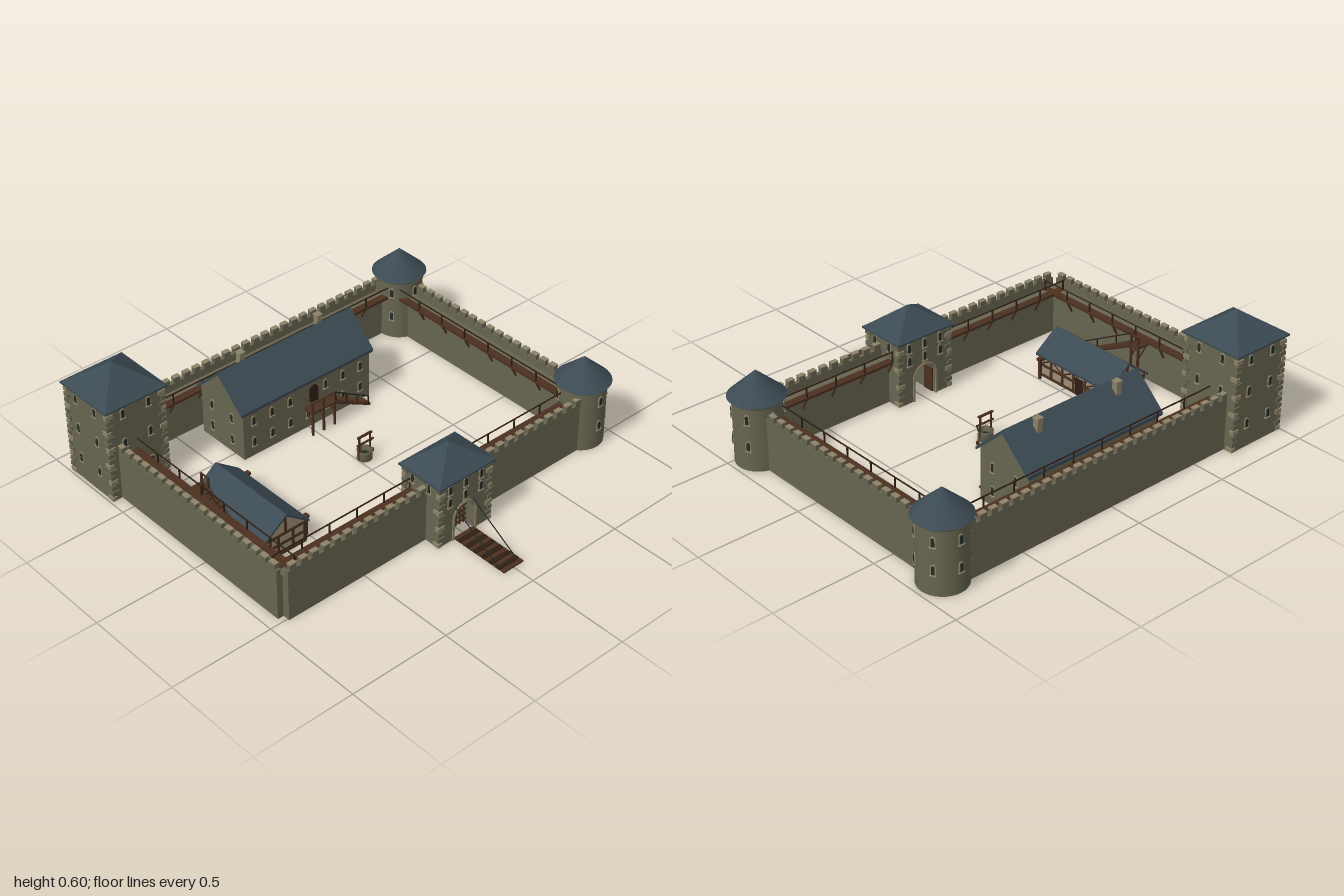
import * as THREE from 'three';

const mat = (name, color) => {
  const m = new THREE.MeshStandardMaterial({ color });
  m.name = name;
  return m;
};

export function createModel() {
  const stone = mat('stone', 0x66644f), trim = mat('pale stone', 0x8c8268), slate = mat('slate', 0x3c4a53);
  const wood = mat('wood', 0x4b3020), darkWood = mat('dark wood', 0x2f1f15), pane = mat('window pane', 0x222b25);
  const plaster = mat('plaster', 0x9a8f74), iron = mat('iron', 0x25262a);
  const root = new THREE.Group();
  root.name = 'castle';

  // Helpers
  const add = (parent, name, geo, m, x = 0, y = 0, z = 0) => {
    const mesh = new THREE.Mesh(geo, m);
    mesh.name = name;
    mesh.position.set(x, y, z);
    parent.add(mesh);
    return mesh;
  };
  const group = (name, parent = root, x = 0, y = 0, z = 0, turn = 0) => {
    const g = new THREE.Group();
    g.name = name;
    g.position.set(x, y, z);
    g.rotation.y = turn;
    parent.add(g);
    return g;
  };
  // Box standing on height y
  const box = (parent, name, m, w, h, d, x, y, z) => add(parent, name, new THREE.BoxGeometry(w, h, d), m, x, y + h / 2, z);
  const rod = (parent, name, m, a, b, r, sides = 6) => {
    const p = new THREE.Vector3(...a), q = new THREE.Vector3(...b), dir = q.clone().sub(p);
    const mesh = add(parent, name, new THREE.CylinderGeometry(r, r, dir.length(), sides), m);
    mesh.position.copy(p).add(q).multiplyScalar(0.5);
    mesh.quaternion.setFromUnitVectors(new THREE.Vector3(0, 1, 0), dir.normalize());
    return mesh;
  };
  const extrude = (shape, depth) => new THREE.ExtrudeGeometry(shape, { depth, bevelEnabled: false, curveSegments: 10 });
  const polygon = pts => new THREE.Shape(pts.map(p => new THREE.Vector2(...p)));
  const archShape = (w, h) => {
    const s = new THREE.Shape();
    s.moveTo(-w / 2, 0);
    s.lineTo(w / 2, 0);
    s.lineTo(w / 2, h - w / 2);
    s.absarc(0, h - w / 2, w / 2, 0, Math.PI, false);
    return s;
  };
  const frameGeo = extrude(archShape(0.025, 0.05), 0.005), paneGeo = extrude(archShape(0.015, 0.04), 0.007);
  const addWindow = (parent, x, y, z, turn = 0) => {
    const g = group('window', parent, x, y - 0.022, z, turn);
    add(g, 'windowFrame', frameGeo, trim, 0, 0, -0.001);
    add(g, 'windowPane', paneGeo, pane, 0, 0.004, -0.001);
    box(g, 'windowSill', trim, 0.03, 0.005, 0.009, 0, -0.003, 0.004);
  };
  const pyramidRoof = (parent, w, d, h, y) => {
    const geo = new THREE.ConeGeometry(Math.SQRT1_2, h, 4).rotateY(Math.PI / 4).scale(w, 1, d).toNonIndexed();
    geo.computeVertexNormals();
    add(parent, 'roof', geo, slate, 0, y + h / 2 + 0.006, 0);
    box(parent, 'eaves', slate, w, 0.008, d, 0, y, 0);
  };
  const quoins = (parent, w, d, h) => {
    for (const sx of [-1, 1]) for (const sz of [-1, 1]) {
      for (let i = 0, y = 0.004; y < h - 0.02; i++, y += 0.029) {
        const a = i % 2 ? 0.036 : 0.022, b = i % 2 ? 0.022 : 0.036;
        box(parent, 'cornerStone', i % 3 ? stone : trim, a, 0.02, b,
          sx * (w / 2 + 0.006 - a / 2), y, sz * (d / 2 + 0.006 - b / 2));
      }
    }
  };
  // Gable building: ridge runs along local z
  const gable = (parent, bodyMat, bodyW, bodyL, roofW, roofL, eave, rise, t) => {
    const k = rise / (roofW / 2), top = eave + k * (roofW - bodyW) / 2 - t, b = bodyW / 2, r = roofW / 2;
    const body = polygon([[-b, 0], [b, 0], [b, top], [0, eave + rise - t], [-b, top]]);
    add(parent, 'walls', extrude(body, bodyL), bodyMat, 0, 0, -bodyL / 2);
    const roof = polygon([[-r, eave - t], [0, eave + rise - t], [r, eave - t], [r, eave], [0, eave + rise], [-r, eave]]);
    add(parent, 'roof', extrude(roof, roofL), slate, 0, 0, -roofL / 2);
  };
  // Stair descends along local +x
  const stair = (parent, run, rise, width, n) => {
    for (let i = 0; i < n; i++) {
      box(parent, 'stairTread', wood, run / n * 1.1, 0.008, width, (i + 0.5) * run / n, rise * (1 - (i + 0.5) / n), 0);
    }
    for (const s of [-1, 1]) rod(parent, 'stairStringer', wood, [0, rise - 0.006, s * width / 2], [run, 0.005, s * width / 2], 0.007, 4);
    rod(parent, 'handrail', darkWood, [0, rise + 0.05, width / 2], [run - 0.01, 0.055, width / 2], 0.003);
    for (let i = 0; i < 4; i++) {
      const x = 0.006 + i * (run - 0.016) / 3;
      box(parent, 'railPost', darkWood, 0.005, 0.052, 0.005, x, rise * (1 - x / run), width / 2);
    }
  };

  // Curtain walls: outer face at local z = 0, wall walk towards -z
  const wall = (name, len, x, z, turn) => {
    const g = group(name, root, x, 0, z, turn);
    box(g, 'wallBody', stone, len, 0.22, 0.07, 0, 0, -0.035);
    box(g, 'parapet', stone, len, 0.036, 0.022, 0, 0.22, -0.011);
    const n = Math.round(len / 0.058), step = len / n;
    for (let i = 0; i < n; i++) {
      const mx = -len / 2 + (i + 0.5) * step;
      box(g, 'merlon', stone, 0.034, 0.025, 0.022, mx, 0.256, -0.011);
      box(g, 'merlonCap', trim, 0.036, 0.004, 0.024, mx, 0.28, -0.011);
    }
    box(g, 'wallWalk', wood, len, 0.012, 0.038, 0, 0.211, -0.087);
    const posts = Math.max(2, Math.round(len / 0.16));
    for (let i = 0; i <= posts; i++) {
      const px = -len / 2 + 0.01 + i * (len - 0.02) / posts;
      box(g, 'railPost', darkWood, 0.006, 0.05, 0.006, px, 0.222, -0.102);
      rod(g, 'bracket', wood, [px, 0.155, -0.068], [px, 0.212, -0.1], 0.006, 4);
    }
    rod(g, 'rail', darkWood, [-len / 2, 0.272, -0.102], [len / 2, 0.272, -0.102], 0.0035);
  };
  wall('frontWallRight', 0.77, -0.525, 0.51, 0);
  wall('frontWallLeft', 0.66, 0.47, 0.51, 0);
  wall('backWall', 1.5, 0.05, -0.84, Math.PI);
  wall('leftSideWall', 1.1, 0.9, -0.165, Math.PI / 2);
  wall('rightSideWall', 1.075, -0.94, -0.0625, -Math.PI / 2);

  // Round corner towers
  for (const z of [-0.77, 0.44]) {
    const g = group('roundTower', root, 0.868, 0, z);
    add(g, 'towerBody', new THREE.CylinderGeometry(0.11, 0.112, 0.325, 32), stone, 0, 0.1625, 0);
    add(g, 'towerCornice', new THREE.CylinderGeometry(0.117, 0.111, 0.015, 32), stone, 0, 0.31, 0);
    add(g, 'towerRoof', new THREE.ConeGeometry(0.131, 0.12, 32), slate, 0, 0.38, 0);
    for (let i = 0; i < 6; i++) {
      const a = i * Math.PI / 3;
      for (const y of [0.12, 0.25]) addWindow(g, Math.sin(a) * 0.11, y, Math.cos(a) * 0.11, a);
    }
  }

  // Square keep
  const keep = group('squareTower', root, -0.835, 0, -0.735);
  box(keep, 'towerBody', stone, 0.302, 0.478, 0.302, 0, 0, 0);
  quoins(keep, 0.302, 0.302, 0.475);
  pyramidRoof(keep, 0.33, 0.33, 0.116, 0.475);
  for (let side = 0; side < 4; side++) {
    const face = group('towerWindows', keep, 0, 0, 0, side * Math.PI / 2);
    for (const x of [-0.068, 0.068]) for (const y of [0.12, 0.28, 0.435]) addWindow(face, x, y, 0.151);
  }

  // Gatehouse with vaulted passage
  const gate = group('gatehouse', root, -0.002, 0, 0.478);
  const gateShape = polygon([[-0.15, 0], [-0.06, 0], [-0.06, 0.11]]);
  gateShape.absarc(0, 0.11, 0.06, Math.PI, 0, true);
  [[0.06, 0], [0.15, 0], [0.15, 0.325], [-0.15, 0.325]].forEach(p => gateShape.lineTo(...p));
  add(gate, 'gateBody', extrude(gateShape, 0.222), stone, 0, 0, -0.111);
  quoins(gate, 0.3, 0.222, 0.32);
  pyramidRoof(gate, 0.33, 0.255, 0.105, 0.32);
  const surround = polygon([[-0.07, 0], [-0.06, 0], [-0.06, 0.11]]);
  surround.absarc(0, 0.11, 0.06, Math.PI, 0, true);
  surround.lineTo(0.06, 0);
  surround.lineTo(0.07, 0);
  surround.absarc(0, 0.11, 0.07, 0, Math.PI, false);
  for (const s of [-1, 1]) {
    const face = group('gateFace', gate, 0, 0, 0, s > 0 ? 0 : Math.PI);
    add(face, 'archSurround', extrude(surround, 0.006), trim, 0, 0, 0.11);
    for (const x of [-0.09, 0, 0.09]) for (const y of [0.215, 0.28]) addWindow(face, x, y, 0.111);
    const side = group('gateSide', gate, 0, 0, 0, s * Math.PI / 2);
    for (const x of [-0.05, 0.05]) addWindow(side, x, 0.285, 0.15);
  }
  for (let i = -2; i <= 2; i++) {
    const x = i * 0.022, top = 0.11 + Math.sqrt(0.06 ** 2 - x * x);
    box(gate, 'portcullisBar', wood, 0.007, top - 0.01, 0.007, x, 0.01, 0.06);
  }
  for (let i = 0; i < 5; i++) box(gate, 'portcullisCrossbar', wood, i > 3 ? 0.1 : 0.118, 0.007, 0.009, 0, 0.02 + i * 0.027, 0.06);
  for (const s of [-1, 1]) box(gate, 'openDoor', wood, 0.007, 0.12, 0.055, s * 0.056, 0.002, -0.07);

  // Drawbridge and chains
  const bridge = group('drawbridge', root, -0.005, 0, 0);
  for (let i = 0; i < 13; i++) box(bridge, 'plank', i % 2 ? darkWood : wood, 0.115, 0.007, 0.021, 0, 0.004, 0.6 + i * 0.0235);
  for (const s of [-1, 1]) {
    box(bridge, 'bridgeBeam', darkWood, 0.01, 0.006, 0.3, s * 0.043, 0, 0.74);
    rod(bridge, 'chain', iron, [s * 0.05, 0.01, 0.85], [s * 0.05, 0.17, 0.585], 0.0025);
  }

  // Great hall
  const hall = group('greatHall', root, -0.003, 0, -0.58);
  gable(group('hallShell', hall, 0, 0, 0, Math.PI / 2), stone, 0.295, 0.745, 0.32, 0.777, 0.26, 0.15, 0.015);
  for (const x of [-0.227, 0.227]) {
    box(hall, 'chimney', trim, 0.028, 0.09, 0.028, x, 0.33, -0.04);
    box(hall, 'chimneyCap', trim, 0.034, 0.008, 0.034, x, 0.418, -0.04);
  }
  for (let i = -3; i <= 3; i++) {
    for (const y of [0.075, 0.19]) {
      if (i || y < 0.1) addWindow(hall, i * 0.105, y, 0.1475);
      addWindow(hall, i * 0.105, y, -0.1475, Math.PI);
    }
  }
  for (const s of [-1, 1]) for (const x of [-0.07, 0.07]) for (const y of [0.075, 0.19]) {
    addWindow(hall, s * 0.3725, y, x, s * Math.PI / 2);
  }
  add(hall, 'hallDoor', extrude(archShape(0.05, 0.09), 0.006), darkWood, 0.035, 0.13, 0.147);

  // Hall porch and stair
  const porch = group('hallPorch', root, 0.035, 0, -0.39);
  box(porch, 'porchFloor', wood, 0.14, 0.01, 0.06, 0, 0.12, 0);
  for (const x of [-0.065, 0, 0.065]) {
    box(porch, 'porchPost', wood, 0.009, x > 0 ? 0.12 : 0.18, 0.009, x, 0, 0.024);
    rod(porch, 'porchBrace', wood, [x, 0.07, 0.024], [x, 0.122, -0.025], 0.005, 4);
  }
  rod(porch, 'porchRail', wood, [-0.068, 0.178, 0.024], [0.068, 0.178, 0.024], 0.004);
  rod(porch, 'porchSideRail', wood, [-0.065, 0.178, -0.04], [-0.065, 0.178, 0.024], 0.004);
  stair(group('hallStair', root, 0.105, 0, -0.392), 0.215, 0.125, 0.042, 11);

  // Half-timbered house
  const house = group('timberHouse', root, -0.645, 0, -0.0525);
  gable(house, plaster, 0.22, 0.45, 0.25, 0.475, 0.115, 0.095, 0.012);
  for (const s of [-1, 1]) {
    const side = group('houseSide', house, 0, 0, 0, s * Math.PI / 2);
    for (const y of [0, 0.052, 0.1]) box(side, 'timberRail', wood, 0.456, 0.012, 0.008, 0, y, 0.111);
    for (let i = -3; i <= 3; i++) {
      box(side, 'timberPost', wood, 0.012, 0.112, 0.009, i * 0.074, 0, 0.111);
      if (i < 3) rod(side, 'timberBrace', wood, [i * 0.074, i % 2 ? 0.06 : 0.1, 0.111], [(i + 1) * 0.074, i % 2 ? 0.1 : 0.06, 0.111], 0.004, 4);
    }
    box(side, 'houseDoor', darkWood, 0.045, 0.085, 0.009, 0.037, 0, 0.112);
    const end = group('houseEnd', house, 0, 0, 0, s > 0 ? 0 : Math.PI);
    for (const y of [0, 0.052, 0.1]) box(end, 'timberRail', wood, 0.222, 0.012, 0.008, 0, y, 0.226);
    for (const x of [-0.104, -0.04, 0.04, 0.104]) box(end, 'timberPost', wood, 0.012, 0.112, 0.009, x, 0, 0.226);
    box(end, 'kingPost', wood, 0.012, 0.09, 0.009, 0, 0.1, 0.226);
    // Bracketed posts facing the yard
    const z = s * 0.196;
    box(house, 'yardPost', wood, 0.012, 0.1, 0.012, 0.138, 0, z);
    box(house, 'yardBeam', wood, 0.06, 0.012, 0.024, 0.12, 0.095, z);
  }

  // Stair and landing up to the wall walk
  const landing = group('wallLanding', root, -0.812, 0, -0.195);
  box(landing, 'landingFloor', wood, 0.086, 0.01, 0.055, 0, 0.205, 0);
  for (const z of [-0.022, 0.022]) {
    box(landing, 'landingPost', wood, 0.009, 0.265, 0.009, 0.036, 0, z);
    rod(landing, 'landingBrace', wood, [0.036, 0.15, z], [-0.02, 0.207, z], 0.005, 4);
  }
  rod(landing, 'landingRail', wood, [0.036, 0.262, -0.026], [0.036, 0.262, 0.026], 0.004);
  stair(group('wallStair', root, -0.795, 0, -0.17, -Math.PI / 2), 0.385, 0.21, 0.036, 16);

  // Well
  const well = group('well', root, 0.035, 0, -0.088);
  const ring = [[0.024, 0.005], [0.036, 0], [0.034, 0.04], [0.037, 0.046], [0.026, 0.046], [0.024, 0.005]];
  add(well, 'wellRing', new THREE.LatheGeometry(ring.map(p => new THREE.Vector2(...p)), 20), stone);
  add(well, 'wellWater', new THREE.CylinderGeometry(0.026, 0.026, 0.02, 20), pane, 0, 0.012, 0);
  for (const s of [-1, 1]) box(well, 'wellPost', wood, 0.007, 0.125, 0.007, s * 0.032, 0, 0);
  box(well, 'wellBeam', wood, 0.084, 0.008, 0.01, 0, 0.122, 0);
  rod(well, 'windlass', wood, [-0.045, 0.085, 0], [0.052, 0.085, 0], 0.005, 8);
  rod(well, 'crank', iron, [0.052, 0.087, 0], [0.052, 0.065, -0.012], 0.003);
  rod(well, 'rope', plaster, [0, 0.085, 0], [0, 0.045, 0], 0.0015);
  add(well, 'bucket', new THREE.CylinderGeometry(0.009, 0.007, 0.016, 10), wood, 0.058, 0.008, -0.014);

  return root;
}
